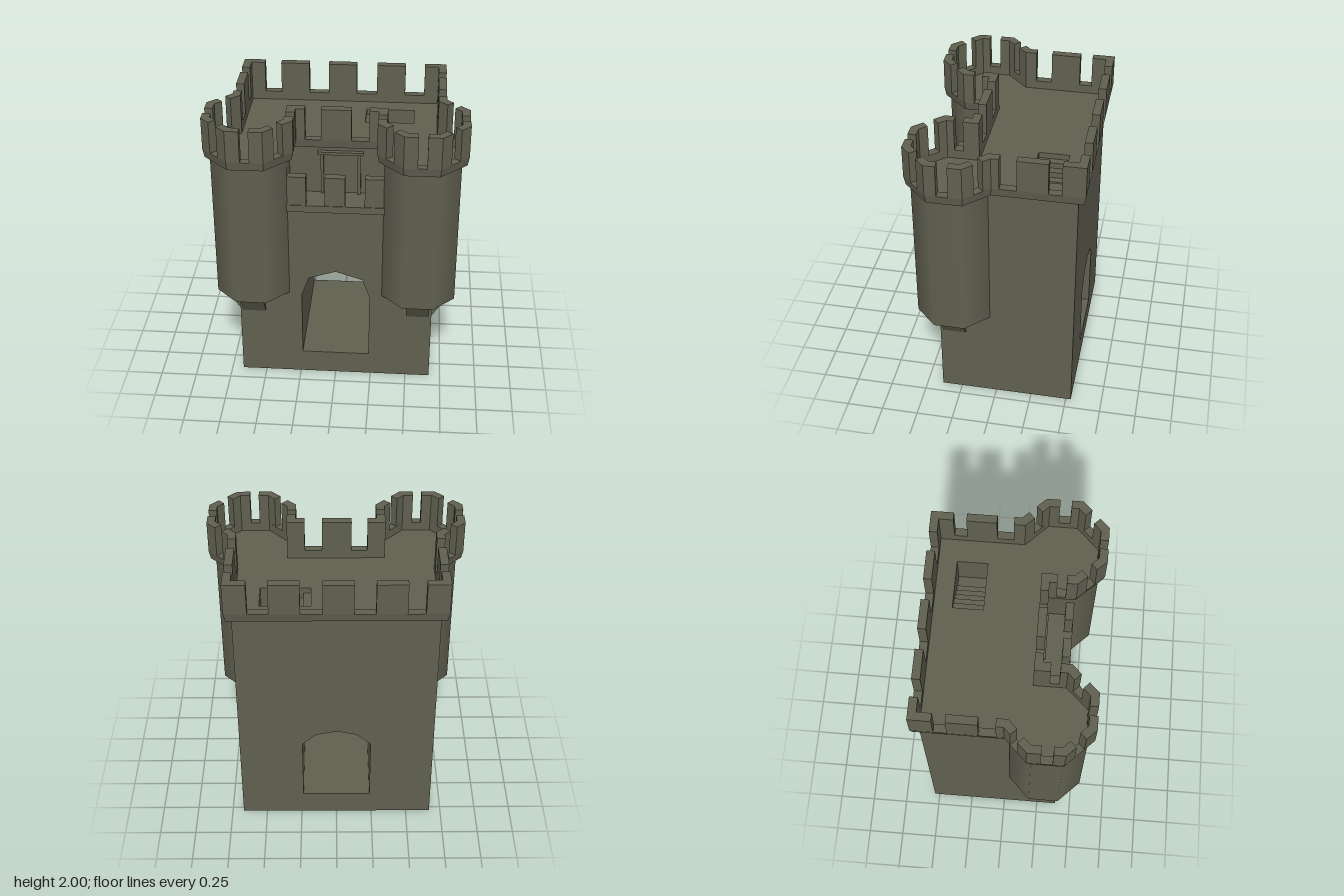
import * as THREE from 'three';

const V = (x, z) => new THREE.Vector2(x, z);

export function createModel() {
  const root = new THREE.Group();
  const stone = new THREE.MeshStandardMaterial({ color: 0x606050, side: THREE.DoubleSide });
  stone.name = 'grey stone';

  const add = (name, geo, x = 0, y = 0, z = 0) => {
    const m = new THREE.Mesh(geo, stone);
    m.name = name;
    m.position.set(x, y, z);
    root.add(m);
    return m;
  };
  // Box given by its limits
  const box = (name, x0, x1, y0, y1, z0, z1) =>
    add(name, new THREE.BoxGeometry(x1 - x0, y1 - y0, z1 - z0), (x0 + x1) / 2, (y0 + y1) / 2, (z0 + z1) / 2);
  // Plan outline (x, z) as a shape that lies flat after rotateX(-90 degrees)
  const plan = pts => new THREE.Shape(pts.map(p => V(p.x, -p.y)));
  const prism = (name, pts, y0, y1) => {
    const g = new THREE.ExtrudeGeometry(plan(pts), { depth: y1 - y0, bevelEnabled: false });
    return add(name, g.rotateX(-Math.PI / 2), 0, y0, 0);
  };
  // Flat-shaded surface through rings of [x, y, z] points
  const loft = (name, rings) => {
    const pos = [];
    const n = rings[0].length;
    for (let r = 0; r < rings.length - 1; r++) {
      for (let i = 0; i < n; i++) {
        const j = (i + 1) % n;
        const [a, b, c, d] = [rings[r][i], rings[r][j], rings[r + 1][j], rings[r + 1][i]];
        pos.push(...a, ...b, ...c, ...a, ...c, ...d);
      }
    }
    const g = new THREE.BufferGeometry();
    g.setAttribute('position', new THREE.Float32BufferAttribute(pos, 3));
    g.computeVertexNormals();
    return add(name, g);
  };

  // Gate passage: taller arch at the front, lower at the back, floor raised above the ground
  const arch = (shoulder, kneeX, kneeY, top) => [
    V(-0.235, 0.17), V(0.235, 0.17), V(0.235, shoulder), V(kneeX, kneeY),
    V(0, top), V(-kneeX, kneeY), V(-0.235, shoulder)];
  const frontArch = arch(0.66, 0.185, 0.8, 0.86);
  const backArch = arch(0.645, 0.14, 0.73, 0.76);
  const ZF = 0.39, ZB = -0.535, W = 0.67, TOP = 1.72;
  loft('gatePassage', [backArch.map(p => [p.x, p.y, ZB]), frontArch.map(p => [p.x, p.y, ZF])]);

  // Keep walls, hollow and open underneath
  const wall = (height, hole) => {
    const s = new THREE.Shape([V(-W, 0), V(W, 0), V(W, height), V(-W, height)]);
    s.holes.push(new THREE.Path(hole));
    return new THREE.ShapeGeometry(s);
  };
  add('frontWall', wall(1.35, frontArch), 0, 0, ZF);
  add('backWall', wall(TOP, backArch).rotateY(Math.PI), 0, 0, ZB);
  for (const s of [1, -1]) {
    add('sideWall', new THREE.PlaneGeometry(ZF - ZB, TOP).rotateY(s * Math.PI / 2), s * W, TOP / 2, (ZF + ZB) / 2);
  }
  add('recessWall', new THREE.PlaneGeometry(0.72, TOP - 1.35), 0, (TOP + 1.35) / 2, 0.2);

  // Corner towers and the wedge brackets that carry them
  const wedge = new THREE.Shape([V(0, 0), V(0.11, 0.17), V(0, 0.17)]);
  const wedgeGeo = () => new THREE.ExtrudeGeometry(wedge, { depth: 0.16, bevelEnabled: false }).translate(0, 0, -0.08);
  for (const s of [1, -1]) {
    const tower = new THREE.CylinderGeometry(0.2706, 0.2706, TOP - 0.68, 8, 1).rotateY(Math.PI / 8);
    add('tower', tower, s * 0.57, (TOP + 0.68) / 2, 0.29);
    add('frontBracket', wedgeGeo().rotateY(-Math.PI / 2), s * 0.572, 0.51, ZF);
    add('sideBracket', wedgeGeo().rotateY(s > 0 ? 0 : Math.PI), s * W, 0.51, 0.29);
  }

  // Parapet outline: right half, mirrored for the left
  const mirror = half => [...half, ...half.slice().reverse().map(p => V(-p.x, p.y))];
  const outer = mirror([V(0.715, -0.585), V(0.715, 0.01), V(0.865, 0.16), V(0.865, 0.4),
    V(0.685, 0.58), V(0.445, 0.58), V(0.272, 0.4), V(0.272, 0.22)]);
  const inner = mirror([V(0.66, -0.53), V(0.66, 0.035), V(0.81, 0.183), V(0.81, 0.377),
    V(0.662, 0.525), V(0.468, 0.525), V(0.332, 0.377), V(0.332, 0.165)]);
  const ring = (pts, y) => pts.map(p => [p.x, y, p.y]);
  const foot = outer.map((p, i) => p.clone().lerp(inner[i], 0.2));
  loft('parapet', [ring(inner, TOP), ring(foot, TOP), ring(outer, 1.78), ring(inner, 1.78), ring(inner, TOP)]);

  // Merlons that turn each corner of the parapet
  const arms = [[0.15, 0.15], [0.05, 0.06], [0.085, 0.09], [0.075, 0.085],
    [0.09, 0.09], [0.09, 0.09], [0.085, 0.07], [0.05, 0.06]];
  const n = outer.length;
  outer.forEach((p, i) => {
    const right = i < 8;
    const pair = arms[right ? i : n - 1 - i];
    const v = inner[i].clone().sub(p);
    const arm = (q, len) => {
      const d = q.clone().sub(p).normalize();
      const end = p.clone().addScaledVector(d, len);
      const across = v.clone().addScaledVector(d, -v.dot(d));
      return [end, end.clone().add(across)];
    };
    const [a, a2] = arm(outer[(i + n - 1) % n], pair[right ? 0 : 1]);
    const [b, b2] = arm(outer[(i + 1) % n], pair[right ? 1 : 0]);
    prism('cornerMerlon', [a, p, b, b2, inner[i], a2], 1.78, 2);
  });

  // Straight merlons on the back, sides and front
  for (const x of [-0.35, -0.013, 0.33]) box('backMerlon', x - 0.1, x + 0.1, 1.78, 2, -0.585, -0.53);
  for (const s of [1, -1]) {
    const m = box('sideMerlon', -0.0275, 0.0275, 1.78, 2, -0.35, -0.15);
    m.position.x = s * 0.6875;
  }
  box('frontMerlon', -0.105, 0.095, 1.78, 2, 0.165, 0.22);

  // Roof with a stairwell opening
  const roof = plan(inner);
  roof.holes.push(new THREE.Path([V(0.165, 0.2), V(0.5, 0.2), V(0.5, 0.405), V(0.165, 0.405)]));
  add('roof', new THREE.ShapeGeometry(roof).rotateX(-Math.PI / 2), 0, TOP, 0);
  const well = [V(0.165, -0.405), V(0.5, -0.405), V(0.5, -0.2), V(0.165, -0.2)];
  loft('stairwell', [ring(well, 1.45), ring(well, TOP)]);
  for (let i = 0; i < 6; i++) {
    const x = 0.165 + i * 0.05;
    box('stairStep', x, i === 5 ? 0.5 : x + 0.05, 1.44, TOP - 0.04 * (i + 1), -0.405, -0.2);
  }

  // Balcony over the gate, with its battlements and door frame
  box('balcony', -0.335, 0.335, 1.33, 1.38, 0.18, 0.4);
  for (const [x0, x1] of [[-0.325, -0.195], [-0.07, 0.065], [0.195, 0.325]]) {
    box('balconyMerlon', x0, x1, 1.38, 1.59, 0.34, 0.395);
  }
  box('doorPost', -0.11, -0.09, 1.38, 1.68, 0.19, 0.22);
  box('doorPost', 0.137, 0.158, 1.38, 1.68, 0.19, 0.22);
  box('doorLintel', -0.13, 0.175, 1.675, 1.695, 0.19, 0.23);

  return root;
}
